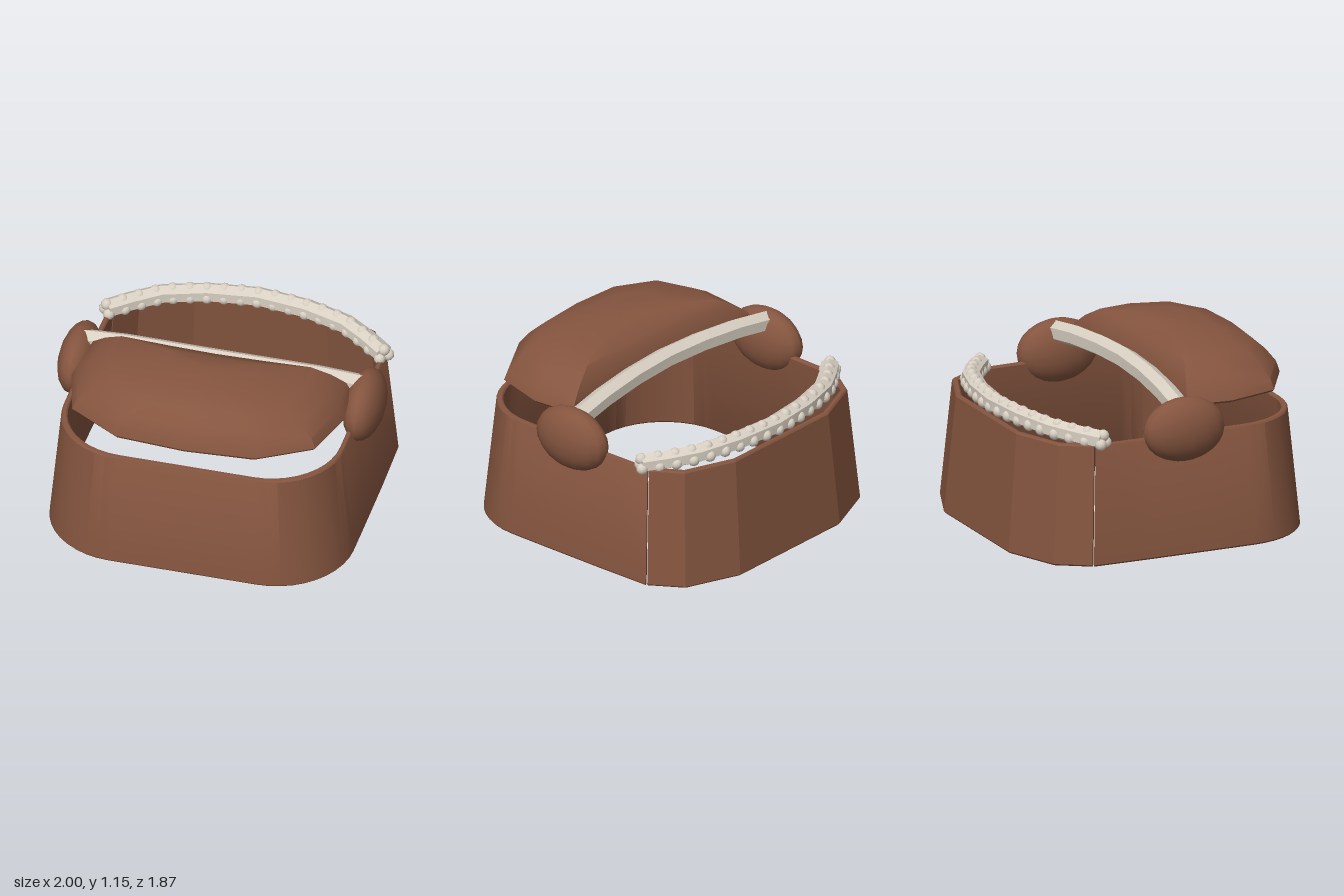
import * as THREE from 'three';
import { toCreasedNormals } from 'three/addons/utils/BufferGeometryUtils.js';

const V = (x, y, z) => new THREE.Vector3(x, y, z);

// Skin a list of equal closed cross-sections and cap both ends
function loft(rings, crease) {
  const n = rings[0].length, pos = [], idx = [];
  rings.forEach(r => r.forEach(p => pos.push(p.x, p.y, p.z)));
  for (let i = 0; i < rings.length - 1; i++) {
    for (let j = 0; j < n; j++) {
      const a = i * n + j, b = i * n + (j + 1) % n;
      idx.push(a, b, b + n, a, b + n, a + n);
    }
  }
  [0, rings.length - 1].forEach((i, end) => {
    const c = rings[i].reduce((s, p) => s.add(p), V(0, 0, 0)).divideScalar(n);
    const k = pos.length / 3;
    pos.push(c.x, c.y, c.z);
    for (let j = 0; j < n; j++) {
      const a = i * n + j, b = i * n + (j + 1) % n;
      if (end) idx.push(a, b, k); else idx.push(b, a, k);
    }
  });
  // Turn the faces outward when the signed volume is negative
  const at = i => V(pos[3 * i], pos[3 * i + 1], pos[3 * i + 2]);
  let volume = 0;
  for (let i = 0; i < idx.length; i += 3) volume += at(idx[i]).dot(at(idx[i + 1]).cross(at(idx[i + 2])));
  if (volume < 0) idx.reverse();
  const g = new THREE.BufferGeometry();
  g.setAttribute('position', new THREE.Float32BufferAttribute(pos, 3));
  g.setIndex(idx);
  return toCreasedNormals(g, crease);
}

// Tapered wall with soft rims that follows an [x, z] outline
function wall(outline, crease) {
  const section = [[1, 0.015], [0.932, 0.73], [0.924, 0.74], [0.903, 0.74], [0.895, 0.73],
    [0.962, 0.015], [0.97, 0.005], [0.992, 0.005]];
  return loft(outline.map(([x, z]) => section.map(([s, y]) => V(x * s, y, z * s))), crease);
}

// Sideways direction of a path at point i, level with the ground
function sideAt(path, i) {
  const t = path[Math.min(i + 1, path.length - 1)].clone().sub(path[Math.max(i - 1, 0)]);
  return V(-t.z, 0, t.x).normalize();
}

// Six-sided piping along a path
function piping(path, r) {
  return loft(path.map((p, i) => {
    const side = sideAt(path, i);
    return Array.from({ length: 6 }, (_, k) => {
      const a = (k + 0.5) * Math.PI / 3;
      return p.clone().addScaledVector(side, r * Math.cos(a)).add(V(0, r * Math.sin(a), 0));
    });
  }), 0.5);
}

// Complete a half path (centre to +x end) with its mirror image
const mirrorPath = half => [...half.slice(1).reverse().map(p => V(-p.x, p.y, p.z)), ...half];

export function createModel() {
  const model = new THREE.Group();
  const brown = new THREE.MeshStandardMaterial({ color: 0x85553f });
  brown.name = 'brown';
  const cream = new THREE.MeshStandardMaterial({ color: 0xd8cfc2 });
  cream.name = 'cream';
  const add = (name, geometry, material, parent = model) => {
    const m = new THREE.Mesh(geometry, material);
    m.name = name;
    parent.add(m);
    return m;
  };

  // Front wall: U shape with round corners
  const u = [[0.92, -0.597], [0.928, -0.2], [0.93, 0.2]];
  for (let i = 0; i <= 10; i++) {
    const a = i / 10 * Math.PI / 2;
    u.push([0.46 + 0.47 * Math.cos(a), 0.46 + 0.47 * Math.sin(a)]);
  }
  add('frontWall', wall([...u, ...u.slice().reverse().map(([x, z]) => [-x, z])], 0.6), brown);

  // Back wall: faceted panel closing the U
  const b = [[0.915, -0.605], [0.79, -0.8], [0.45, -0.935]];
  add('backWall', wall([...b, ...b.slice().reverse().map(([x, z]) => [-x, z])], 0.25), brown);

  // Lid: domed front cover, stacked outlines shrinking upward
  const half = [[0, 0.1], [0.4, 0.09], [0.81, 0.07], [0.84, 0.35], [0.75, 0.67], [0.43, 0.86], [0, 0.89]];
  const outline = [...half, ...half.slice(1, -1).reverse().map(([x, z]) => [-x, z])];
  const levels = [[0.88, 0.98, 0.49], [0.895, 1, 0.49], [0.96, 0.965, 0.485], [1.03, 0.86, 0.475],
    [1.095, 0.72, 0.46], [1.14, 0.4, 0.43], [1.155, 0.06, 0.4]];
  add('lid', loft(levels.map(([y, s, c]) => outline.map(([x, z]) => V(x * s, y, c + (z - 0.49) * s))), 0.6), brown);

  // Trim along the rear edge of the lid
  const trim = mirrorPath([V(0, 0.96, 0.055), V(0.3, 0.953, 0.045), V(0.6, 0.935, 0.02), V(0.87, 0.9, -0.005)]);
  add('lidTrim', piping(trim, 0.066), cream);

  // Side hubs
  for (const s of [1, -1]) {
    const hub = add(s > 0 ? 'leftHub' : 'rightHub', new THREE.SphereGeometry(1, 16, 12), brown);
    hub.scale.set(0.12, 0.197, 0.265);
    hub.position.set(0.88 * s, 0.775, 0.015);
  }

  // Beaded roll along the back rim
  const roll = new THREE.Group();
  roll.name = 'backRoll';
  model.add(roll);
  const path = mirrorPath([V(0, 0.8, -0.81), V(0.31, 0.797, -0.775), V(0.57, 0.788, -0.7),
    V(0.73, 0.775, -0.6), V(0.855, 0.765, -0.505)]);
  add('rollCore', piping(path, 0.06), cream, roll);
  const curve = new THREE.CatmullRomCurve3(path);
  const beads = curve.getSpacedPoints(18);
  const bead = new THREE.SphereGeometry(0.036, 10, 8);
  beads.forEach((p, i) => {
    const side = sideAt(beads, i);
    for (const [out, up] of [[0, 0.03], [0.032, -0.02], [-0.032, -0.02]]) {
      add('bead', bead, cream, roll).position.copy(p).addScaledVector(side, out).add(V(0, up, 0));
    }
  });
  return model;
}
